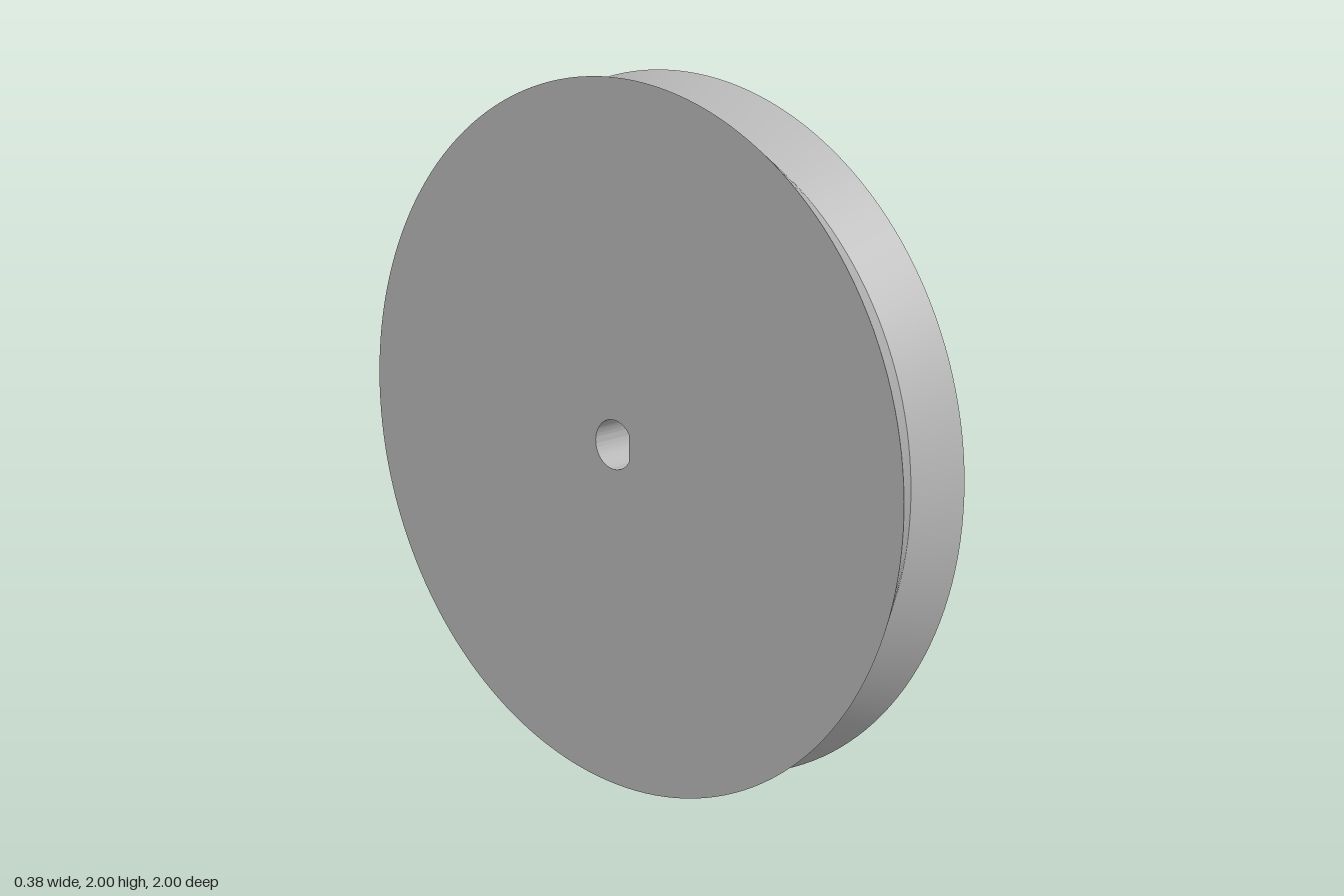
import * as THREE from 'three';
import { mergeGeometries, toCreasedNormals } from 'three/addons/utils/BufferGeometryUtils.js';

const X0 = -0.188, X1 = 0.059, X2 = 0.188;       // disc back, disc front, hub end
const GROOVE_R = 0.926, HUB_R = 0.142, BORE_R = 0.07, FLAT = 0.058, SCREW_R = 0.045;
const MID = (X1 + X2) / 2, HALF = (X2 - X1) / 2; // centre and half length of the hub
const TAU = Math.PI * 2;

// Surface of nu x nv quads; the front side looks along du x dv
function grid(nu, nv, fn, flip = false) {
  const pos = [], idx = [];
  for (let i = 0; i <= nu; i++) for (let j = 0; j <= nv; j++) pos.push(...fn(i / nu, j / nv));
  for (let i = 0; i < nu; i++) for (let j = 0; j < nv; j++) {
    const a = i * (nv + 1) + j, b = a + nv + 1;
    if (flip) idx.push(a, b + 1, b, a, a + 1, b + 1);
    else idx.push(a, b, b + 1, a, b + 1, a + 1);
  }
  const g = new THREE.BufferGeometry();
  g.setAttribute('position', new THREE.Float32BufferAttribute(pos, 3));
  g.setIndex(idx);
  return g;
}

// Cylinder wall about the x axis, from angle a0 (measured from +z) round to -a0
const wall = (r, xa, xb, a0, flip) => grid(96, 1, (u, v) => {
  const a = a0 + (TAU - 2 * a0) * u;
  return [xa + (xb - xa) * v, r * Math.sin(a), r * Math.cos(a)];
}, flip);

// D-shaped or round hole outline as [z, y] points
function outline(r, a0) {
  return Array.from({ length: 97 }, (_, i) => {
    const a = a0 + (TAU - 2 * a0) * i / 96;
    return [r * Math.cos(a), r * Math.sin(a)];
  });
}

// Flat ring facing +x or -x with a hole
function face(r, hole, x, dir) {
  const shape = new THREE.Shape().absarc(0, 0, r, 0, TAU, false);
  shape.holes.push(new THREE.Path(hole.map(([z, y]) => new THREE.Vector2(-dir * z, y))));
  return new THREE.ShapeGeometry(shape, 80).rotateY(dir * Math.PI / 2).translate(x, 0, 0);
}

// Join pieces and smooth everything but the sharp edges
function join(parts) {
  const clean = parts.map((p) => {
    const g = p.index ? p.toNonIndexed() : p;
    g.deleteAttribute('uv');
    g.deleteAttribute('normal');
    return g;
  });
  return toCreasedNormals(mergeGeometries(clean), 0.4);
}

export function createModel() {
  const group = new THREE.Group();
  const grey = new THREE.MeshStandardMaterial({ color: 0xb8b8b8 });
  grey.name = 'grey';
  const add = (name, parts) => {
    const mesh = new THREE.Mesh(join(parts), grey);
    mesh.name = name;
    mesh.position.y = 1;
    group.add(mesh);
  };

  const flatAngle = Math.acos(FLAT / BORE_R), flatY = BORE_R * Math.sin(flatAngle);
  const dHole = outline(BORE_R, flatAngle);

  // Wheel with V-shaped rim groove
  const rim = new THREE.LatheGeometry([
    new THREE.Vector2(1, X0),
    new THREE.Vector2(GROOVE_R, (X0 + X1) / 2),
    new THREE.Vector2(1, X1),
  ], 160).rotateZ(-Math.PI / 2);
  add('wheel', [rim, face(1, dHole, X0, -1), face(1, outline(HUB_R, 0), X1, 1)]);

  // Bore through the wheel: round wall and flat
  add('wheelBore', [
    wall(BORE_R, X0, X1, flatAngle),
    grid(1, 1, (u, v) => [X0 + (X1 - X0) * v, flatY * (2 * u - 1), FLAT]),
  ]);

  // Hub surfaces around the screw hole, stretched from circle to square
  const outerZ = (y) => Math.sqrt(HUB_R ** 2 - y * y);
  const boreZ = (y) => Math.min(FLAT, Math.sqrt(BORE_R ** 2 - y * y));
  const patch = (zAt, flip) => grid(64, 8, (u, v) => {
    const c = Math.cos(u * TAU), s = Math.sin(u * TAU);
    const edge = HALF / Math.max(Math.abs(c), Math.abs(s));
    const r = SCREW_R + (edge - SCREW_R) * v;
    return [MID + r * c, r * s, zAt(r * s)];
  }, flip);

  add('hub', [
    wall(HUB_R, X1, X2, Math.asin(HALF / HUB_R), true),
    patch(outerZ, true),
    face(HUB_R, dHole, X2, 1),
  ]);
  add('hubBore', [wall(BORE_R, X1, X2, Math.asin(HALF / BORE_R)), patch(boreZ)]);

  // Set screw hole from the front of the hub into the bore
  add('screwHole', [grid(64, 1, (u, v) => {
    const y = SCREW_R * Math.sin(u * TAU);
    return [MID + SCREW_R * Math.cos(u * TAU), y, v ? boreZ(y) : outerZ(y)];
  })]);

  return group;
}
